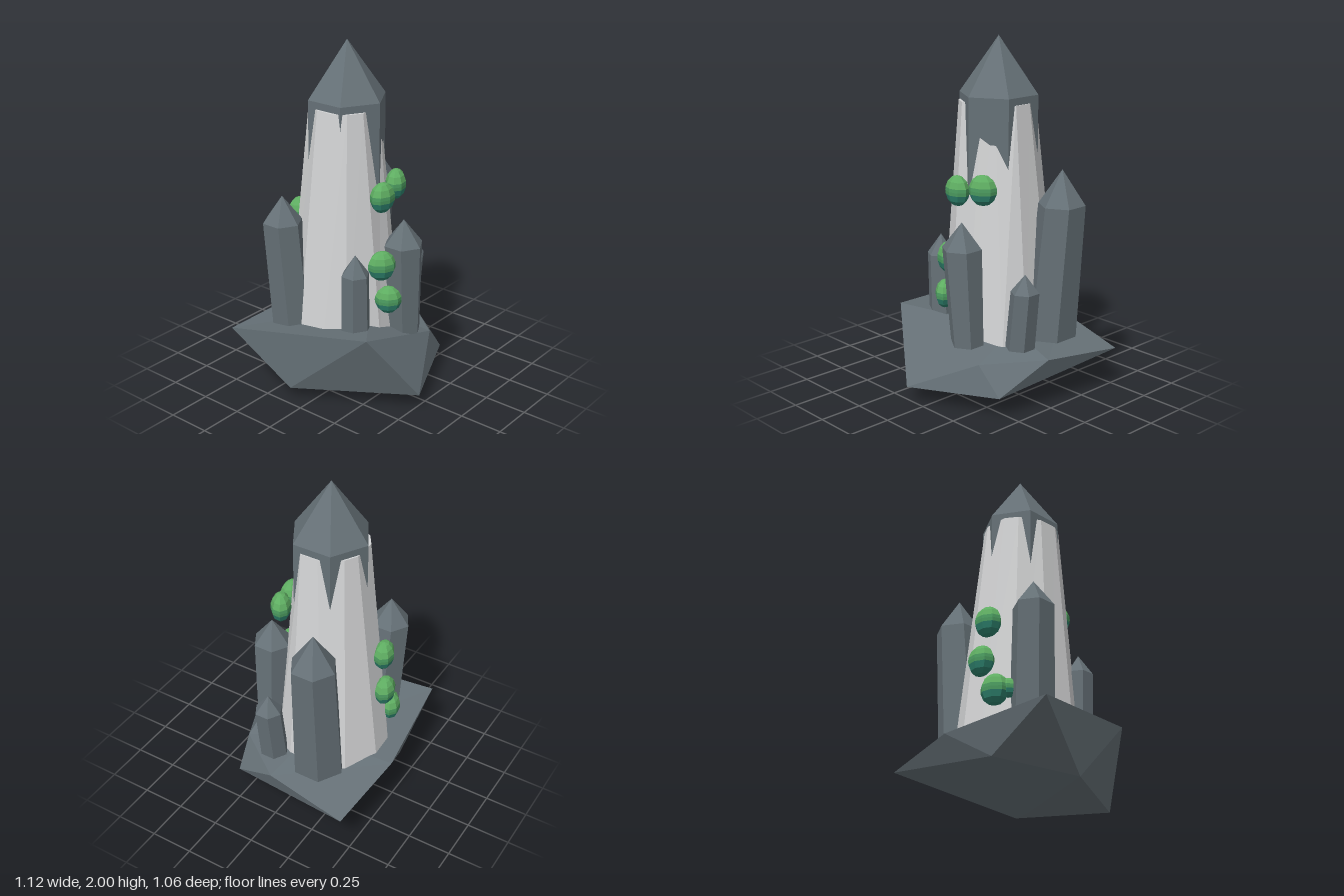
import * as THREE from 'three';

const stone = new THREE.MeshStandardMaterial({ color: 0x667177 });
stone.name = 'slate stone';
const quartz = new THREE.MeshStandardMaterial({ color: 0xd4d5d6 });
quartz.name = 'pale quartz';
const leaf = new THREE.MeshStandardMaterial({ color: 0x5fae62 });
leaf.name = 'moss green';
const leafMid = new THREE.MeshStandardMaterial({ color: 0x4c9c60 });
leafMid.name = 'mid green';
const teal = new THREE.MeshStandardMaterial({ color: 0x2f8570 });
teal.name = 'teal';

// Faceted mesh: separate faces with their own normals
function facet(geometry, material, name) {
  const g = geometry.index ? geometry.toNonIndexed() : geometry;
  g.computeVertexNormals();
  const mesh = new THREE.Mesh(g, material);
  mesh.name = name;
  return mesh;
}

function fromTriangles(points, index) {
  const g = new THREE.BufferGeometry();
  g.setAttribute('position', new THREE.Float32BufferAttribute(points.flat(), 3));
  g.setIndex(index);
  return g;
}

// Hexagonal crystal leaning from its base centre to its apex
function crystal(name, base, apex, shoulder, rBase, rTop) {
  const group = new THREE.Group();
  group.name = name;
  const [bx, by, bz] = base, [ax, ay, az] = apex;
  const shaft = new THREE.CylinderGeometry(rTop, rBase, shoulder - by, 6, 1);
  const p = shaft.attributes.position;
  for (let i = 0; i < p.count; i++) {
    const top = p.getY(i) > 0;
    p.setXYZ(i, p.getX(i) + (top ? ax : bx), top ? shoulder : by, p.getZ(i) + (top ? az : bz));
  }
  const tip = new THREE.ConeGeometry(rTop, ay - shoulder, 6, 1, true);
  tip.translate(ax, (ay + shoulder) / 2, az);
  group.add(facet(shaft, stone, name + 'Shaft'), facet(tip, stone, name + 'Tip'));
  return group;
}

// Boulder the crystals stand on: a distorted icosahedron
function rockBase() {
  const pts = [
    [-0.56, 0.38, -0.455], [0.085, 0.325, -0.53], [0.555, 0.24, -0.47], [0.5, 0.29, 0.025],
    [0.41, 0.12, 0.31], [-0.1, 0.095, 0.53], [-0.355, 0.48, 0.355], [0.27, 0.28, 0.33],
    [-0.46, 0.07, -0.11], [0, 0, -0.01], [-0.18, 0.16, -0.45], [0.17, 0.365, -0.03],
  ];
  const [A, B, C, D, E, F, G, H, I, J, K, T] = pts.keys();
  return facet(fromTriangles(pts, [
    G, F, H, F, E, H, E, D, H, E, C, D, D, C, B, K, B, C, K, A, B, K, I, A, I, G, A, I, F, G,
    J, F, I, J, E, F, J, C, E, J, K, C, J, I, K,
    T, G, H, T, H, D, T, D, B, T, B, A, T, A, G,
  ]), stone, 'rockBase');
}

// Pale twelve-sided mantle; corners of the dark core break through near its top
function mantle() {
  const pts = [], index = [];
  // Rings run around the axis as [degrees, radius]
  const ring = (y, cz, polar) => polar.forEach(([deg, r]) => {
    const a = THREE.MathUtils.degToRad(deg);
    pts.push([Math.sin(a) * r, y, cz + Math.cos(a) * r]);
  });
  ring(0.3, -0.095, [
    [12, 0.335], [48, 0.335], [72, 0.335], [108, 0.335], [132, 0.335], [168, 0.335],
    [192, 0.335], [222, 0.322], [257, 0.322], [288, 0.335], [312, 0.335], [348, 0.335],
  ]);
  ring(1.645, -0.07, [
    [19, 0.186], [41, 0.182], [73, 0.216], [101, 0.21], [139, 0.21], [161, 0.21],
    [199, 0.21], [221, 0.205], [259, 0.203], [290, 0.214], [310, 0.216], [335, 0.205],
  ]);
  pts.push([0, 1.645, -0.07]);
  for (let i = 0; i < 12; i++) {
    const j = (i + 1) % 12;
    index.push(i, j, 12 + j, i, 12 + j, 12 + i, 24, 12 + i, 12 + j);
  }
  return facet(fromTriangles(pts, index), quartz, 'paleMantle');
}

// Round growth in three colour bands, flattened along its facing direction
function bud(x, y, z, r, turn) {
  const group = new THREE.Group();
  group.name = 'greenBud';
  const bands = [[leaf, 0, 3, 'budTop'], [leafMid, 3, 1, 'budMiddle'], [teal, 4, 3, 'budBottom']];
  for (const [material, start, rows, name] of bands) {
    const g = new THREE.SphereGeometry(r, 8, rows, 0, Math.PI * 2, start * Math.PI / 7, rows * Math.PI / 7);
    g.scale(1, 1.08, 0.72);
    group.add(facet(g, material, name));
  }
  group.position.set(x, y, z);
  group.rotation.y = turn;
  return group;
}

export function createModel() {
  const model = new THREE.Group();
  model.name = 'crystalCluster';
  model.add(rockBase(), mantle());

  // Crystals: name, base centre, apex, shoulder height, base and top radius
  const crystals = [
    ['mainCrystal', [0, 0.4, -0.07], [0.007, 2, -0.07], 1.685, 0.228, 0.224],
    ['tallLeftCrystal', [0.31, 0.335, -0.18], [0.38, 1.3, -0.19], 1.105, 0.152, 0.132],
    ['frontCrystal', [0.11, 0.34, 0.265], [0.078, 1.03, 0.272], 0.885, 0.093, 0.113],
    ['rightBackCrystal', [-0.265, 0.34, -0.25], [-0.305, 1.15, -0.28], 1.0, 0.12, 0.113],
    ['smallRightCrystal', [-0.205, 0.38, 0.16], [-0.215, 0.885, 0.165], 0.77, 0.085, 0.08],
    ['smallLeftCrystal', [0.35, 0.34, 0.095], [0.39, 0.77, 0.1], 0.67, 0.083, 0.08],
  ];
  for (const c of crystals) model.add(crystal(...c));

  // Green growths on the front and back of the mantle: centre, radius, facing
  const buds = [
    [-0.03, 1.175, 0.205, 0.08, -0.1], [0.135, 1.2, 0.17, 0.08, 0.5],
    [-0.075, 0.795, 0.24, 0.08, -0.6], [-0.06, 0.595, 0.275, 0.075, -0.9],
    [-0.06, 0.96, -0.375, 0.08, -2.94], [-0.04, 0.73, -0.4, 0.08, -3.02],
    [-0.135, 0.545, -0.39, 0.08, -2.72], [-0.19, 0.55, -0.35, 0.05, -2.5],
  ];
  for (const b of buds) model.add(bud(...b));
  return model;
}
